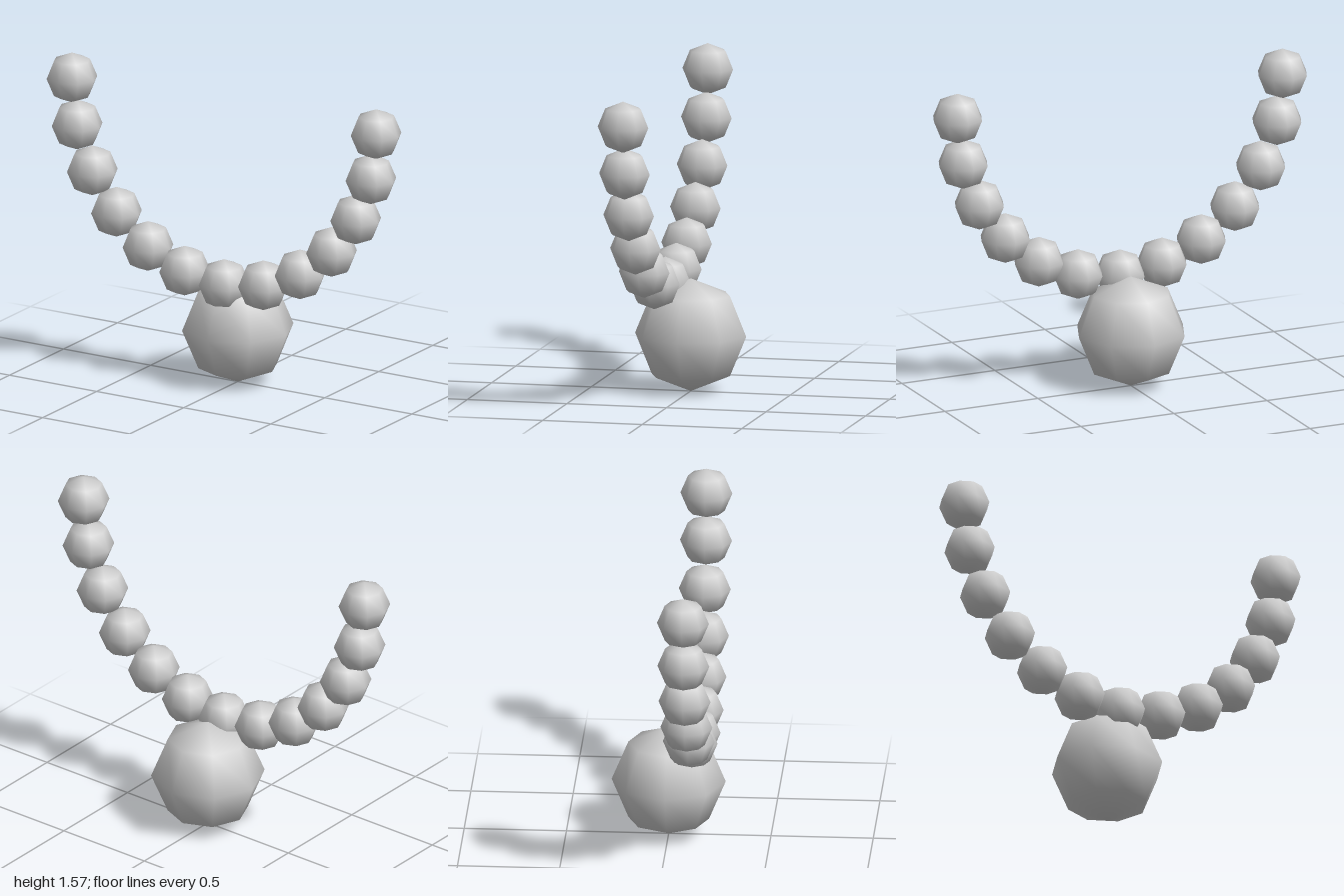
import * as THREE from 'three';

const PENDANT_RADIUS = 0.279;
const BEAD_RADIUS = 0.127;
const BEAD_COUNT = 13;

export function createModel() {
  const model = new THREE.Group();
  model.name = 'beadNecklace';

  const grey = new THREE.MeshStandardMaterial({ color: 0xcccccc });
  grey.name = 'pale grey';

  // Large faceted pendant at the bottom of the string
  const pendant = new THREE.Mesh(new THREE.SphereGeometry(PENDANT_RADIUS, 8, 4), grey);
  pendant.name = 'pendant';
  pendant.position.y = PENDANT_RADIUS;
  model.add(pendant);

  // Beads spaced evenly along a hanging half ellipse, in front of the pendant
  const beads = new THREE.Group();
  beads.name = 'beadString';
  const beadGeometry = new THREE.SphereGeometry(BEAD_RADIUS, 8, 4);
  for (let i = 0; i < BEAD_COUNT; i++) {
    const angle = -Math.PI / 2 + (Math.PI * i) / (BEAD_COUNT - 1);
    const bead = new THREE.Mesh(beadGeometry, grey);
    bead.name = `bead${i + 1}`;
    bead.position.set(0.873 * Math.sin(angle), 1.445 - 0.912 * Math.cos(angle), 0.127);
    beads.add(bead);
  }
  model.add(beads);

  return model;
}
